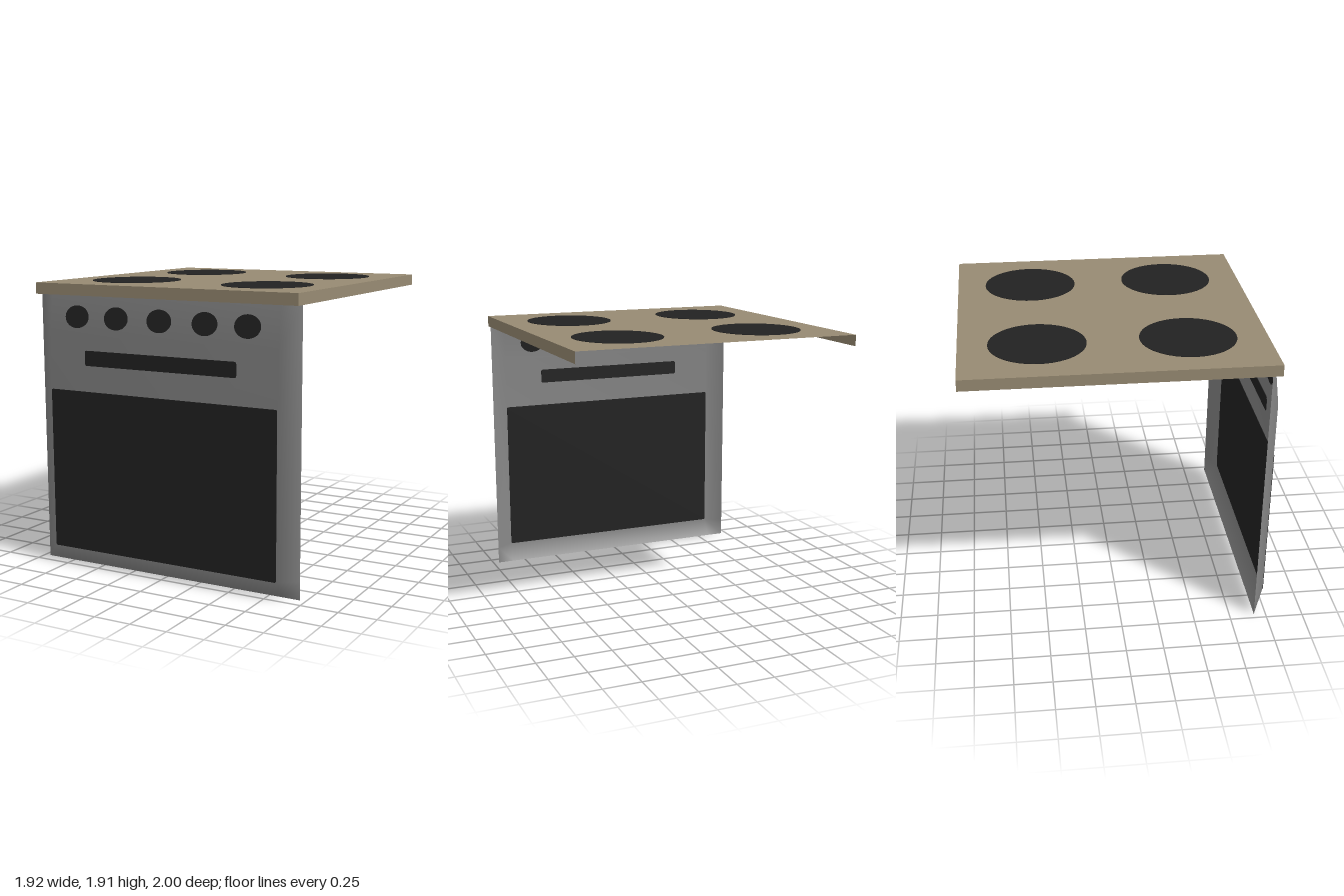
import * as THREE from 'three';

export function createModel() {
  const model = new THREE.Group();
  const make = (name, color, side) => {
    const m = new THREE.MeshStandardMaterial({ color, side });
    m.name = name;
    return m;
  };
  const tan = make('tan enamel', 0x988b73, THREE.DoubleSide);
  const grey = make('grey steel', 0x868686, THREE.DoubleSide);
  const black = make('black glass', 0x222222, THREE.FrontSide);
  const THICK = 0.006;

  const add = (parent, name, geometry, material, x = 0, y = 0, z = 0) => {
    const mesh = new THREE.Mesh(geometry, material);
    mesh.name = name;
    mesh.position.set(x, y, z);
    parent.add(mesh);
    return mesh;
  };

  // Hob: a sheet with a folded rim on the front and both sides, open at the back
  const hob = new THREE.Group();
  hob.name = 'hob';
  model.add(hob);
  const W = 1.92, TOP = 1.905, RIM = 0.075, BACK = -1, FRONT = 0.985;
  const depth = FRONT - BACK, midZ = (FRONT + BACK) / 2, rimY = TOP - RIM / 2;
  add(hob, 'hobTop', new THREE.PlaneGeometry(W, depth).rotateX(-Math.PI / 2), tan, 0, TOP, midZ);
  add(hob, 'frontRim', new THREE.PlaneGeometry(W, RIM), tan, 0, rimY, FRONT);
  for (const s of [-1, 1]) {
    const rim = new THREE.PlaneGeometry(depth, RIM).rotateY(s * Math.PI / 2);
    add(hob, s > 0 ? 'leftRim' : 'rightRim', rim, tan, s * W / 2, rimY, midZ);
  }

  // Burners: thin oval discs, showing on both faces of the sheet
  for (const x of [-0.495, 0.5]) {
    for (const z of [-0.495, 0.47]) {
      const disc = new THREE.CylinderGeometry(1, 1, THICK, 48).scale(0.295, 1, 0.314);
      add(hob, 'burner', disc, black, x, TOP, z);
    }
  }

  // Front panel: a grid whose outer columns and bottom row fold back
  const front = new THREE.Group();
  front.name = 'front';
  model.add(front);
  const cols = [-0.96, -0.84, 0.84, 0.96];
  const rows = [[0, 0.92], [0.12, 1], [1.57, 1], [1.83, 0.967]];
  const positions = [], index = [];
  rows.forEach(([y, z], r) => cols.forEach((x, c) => {
    positions.push(x, y, c === 0 || c === 3 ? 0.92 : z);
    if (r < 3 && c < 3) {
      const a = r * 4 + c;
      index.push(a, a + 1, a + 5, a, a + 5, a + 4);
    }
  }));
  const panel = new THREE.BufferGeometry();
  panel.setAttribute('position', new THREE.Float32BufferAttribute(positions, 3));
  panel.setIndex(index);
  panel.computeVertexNormals();
  add(front, 'frontPanel', panel, grey);

  // Thin plate with rounded corners, centred on its own origin
  const plate = (w, h, r) => {
    const s = new THREE.Shape();
    const x = w / 2, y = h / 2;
    s.moveTo(-x + r, -y);
    s.lineTo(x - r, -y).quadraticCurveTo(x, -y, x, -y + r);
    s.lineTo(x, y - r).quadraticCurveTo(x, y, x - r, y);
    s.lineTo(-x + r, y).quadraticCurveTo(-x, y, -x, y - r);
    s.lineTo(-x, -y + r).quadraticCurveTo(-x, -y, -x + r, -y);
    const g = new THREE.ExtrudeGeometry(s, { depth: THICK, bevelEnabled: false, curveSegments: 4 });
    return g.translate(0, 0, -THICK / 2);
  };
  add(front, 'ovenWindow', plate(1.674, 1.085, 0.012), black, -0.003, 0.66, 1);
  add(front, 'handle', plate(1.12, 0.1, 0.015), black, -0.004, 1.425, 1);

  // Knobs: oval discs lying on the sloping upper strip
  const slope = Math.atan2(0.033, 0.26);
  for (const x of [-0.63, -0.327, -0.003, 0.327, 0.625]) {
    const disc = new THREE.CylinderGeometry(1, 1, THICK, 32)
      .rotateX(Math.PI / 2).scale(0.091, 0.074, 1);
    const knob = add(front, 'knob', disc, black, x, 1.692, 1 - (1.692 - 1.57) * Math.tan(slope));
    knob.rotation.x = -slope;
  }
  return model;
}
